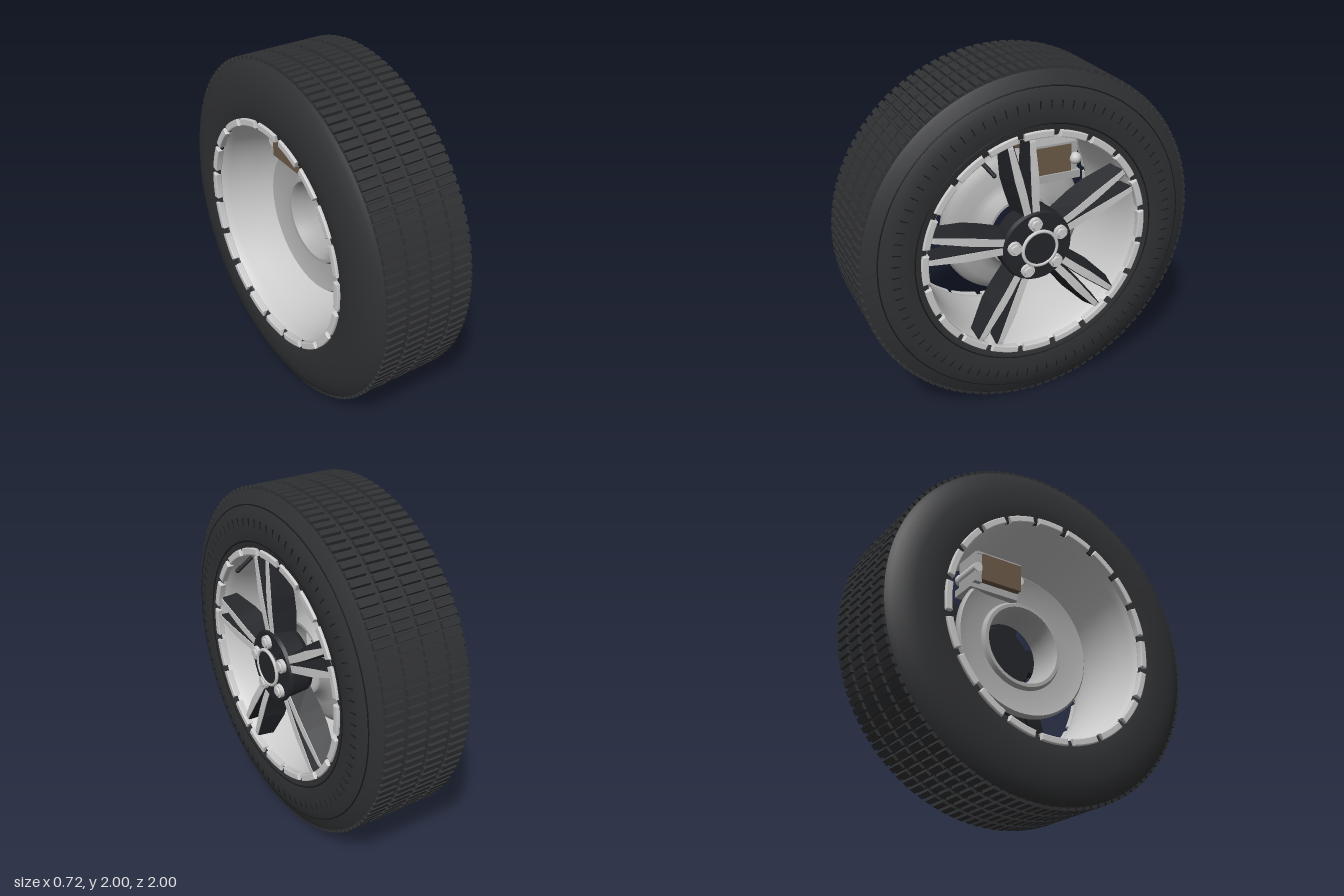
import * as THREE from 'three';
import { mergeGeometries, toCreasedNormals } from 'three/addons/utils/BufferGeometryUtils.js';

const mat = (color, extra = {}) => new THREE.MeshStandardMaterial({ color, ...extra });
const silver = mat(0xcccccc);
const silverThin = mat(0xcccccc, { side: THREE.DoubleSide });
const discGrey = mat(0xaaaaaa, { side: THREE.DoubleSide });
const rubber = mat(0x303133);
const black = mat(0x232529);
const tickDark = mat(0x18191a);
const brown = mat(0x6b5a48);

// The wheel is laid out with its axle along z (outer face +z), then turned to +x.
function add(parent, name, geometry, material, x = 0, y = 0, z = 0) {
  const mesh = new THREE.Mesh(geometry, material);
  mesh.name = name;
  mesh.position.set(x, y, z);
  parent.add(mesh);
  return mesh;
}

// Revolves [radius, axial] points around z
function revolve(points, segments = 96, crease = 0.5) {
  const g = new THREE.LatheGeometry(points.map(p => new THREE.Vector2(...p)), segments);
  return toCreasedNormals(g.rotateX(Math.PI / 2), crease);
}

const disk = (r0, r1, depth, sides = 32) =>
  new THREE.CylinderGeometry(r1, r0, depth, sides).rotateX(Math.PI / 2);

// Copies of a geometry spread evenly around z
function around(geometry, count, start = 0) {
  const copies = [];
  for (let i = 0; i < count; i++) copies.push(geometry.clone().rotateZ(start + i * 2 * Math.PI / count));
  return mergeGeometries(copies);
}

// Flat-sided loft through four-cornered rings, with end caps
function loft(rings) {
  const pos = [];
  const quad = (a, b, c, d) => [a, b, c, a, c, d].forEach(p => pos.push(...p));
  for (let i = 0; i < rings.length - 1; i++) {
    for (let j = 0; j < 4; j++) {
      const k = (j + 1) % 4;
      quad(rings[i][j], rings[i][k], rings[i + 1][k], rings[i + 1][j]);
    }
  }
  const [s, e] = [rings[0], rings[rings.length - 1]];
  quad(s[3], s[2], s[1], s[0]);
  quad(e[0], e[1], e[2], e[3]);
  const g = new THREE.BufferGeometry();
  g.setAttribute('position', new THREE.Float32BufferAttribute(pos, 3));
  g.computeVertexNormals();
  return g;
}

function buildTyre(wheel) {
  const tyre = new THREE.Group();
  tyre.name = 'tyre';
  wheel.add(tyre);
  add(tyre, 'tyreBody', revolve([
    [0.632, -0.29], [0.64, -0.335], [0.7, -0.352], [0.76, -0.355], [0.84, -0.348], [0.9, -0.333],
    [0.96, -0.305], [0.982, -0.285], [0.982, 0.245], [0.96, 0.258], [0.9, 0.285], [0.86, 0.302],
    [0.8, 0.312], [0.7, 0.303], [0.645, 0.285], [0.632, 0.25],
  ], 120), rubber);

  // Four ribs of tapered tread blocks
  const block = new THREE.BoxGeometry(0.044, 0.03, 0.116);
  const p = block.attributes.position;
  for (let i = 0; i < p.count; i++) {
    if (p.getY(i) > 0) p.setXYZ(i, p.getX(i) * 0.75, p.getY(i), p.getZ(i) * 0.96);
  }
  block.computeVertexNormals();
  for (let i = 0; i < 4; i++) {
    const rib = around(block.clone().translate(0, 0.985, 0), 120);
    add(tyre, 'treadRib', rib, rubber, 0, 0, -0.227 + i * 0.138);
  }

  // Sidewall rings and radial ticks
  add(tyre, 'sidewallRing', new THREE.TorusGeometry(0.905, 0.004, 6, 96), tickDark, 0, 0, 0.282);
  add(tyre, 'sidewallRing', new THREE.TorusGeometry(0.71, 0.004, 6, 96), tickDark, 0, 0, 0.304);
  const tick = new THREE.BoxGeometry(0.005, 0.045, 0.008).translate(0, 0.815, 0.309);
  add(tyre, 'sidewallTicks', around(tick, 80), tickDark);
}

function buildRim(wheel) {
  const rim = new THREE.Group();
  rim.name = 'rim';
  wheel.add(rim);
  add(rim, 'barrel', revolve([
    [0.645, -0.335], [0.635, -0.32], [0.628, -0.27], [0.615, -0.18], [0.606, -0.08], [0.604, 0.06],
    [0.61, 0.16], [0.622, 0.23], [0.634, 0.27], [0.646, 0.288],
  ], 96, 1), silverThin);

  // Broken flange: short arcs on both edges
  const half = 0.12, shape = new THREE.Shape();
  shape.absarc(0, 0, 0.668, -half, half, false);
  shape.absarc(0, 0, 0.64, half, -half, true);
  shape.closePath();
  const clip = new THREE.ExtrudeGeometry(shape, {
    depth: 0.03, curveSegments: 6, bevelThickness: 0.006, bevelSize: 0.006, bevelSegments: 2,
  });
  const ring = around(clip, 20);
  add(rim, 'outerFlangeArcs', ring, silver, 0, 0, 0.274);
  add(rim, 'innerFlangeArcs', ring, silver, 0, 0, -0.355);

  // Valve stem
  const path = new THREE.LineCurve3(new THREE.Vector3(-0.305, 0.535, 0.24), new THREE.Vector3(-0.275, 0.49, 0.345));
  add(rim, 'valveStem', new THREE.TubeGeometry(path, 1, 0.012, 12), black);
  add(rim, 'valveCap', new THREE.SphereGeometry(0.013, 12, 8), black, -0.275, 0.49, 0.345);
}

function buildSpokes(wheel) {
  // Per station: radius, inner base, outer base, outer top, inner top, back, front
  const stations = [
    [0.16, -0.005, 0.066, 0.042, -0.003, 0.16, 0.285],
    [0.32, 0.0, 0.092, 0.058, 0.008, 0.16, 0.292],
    [0.42, 0.008, 0.106, 0.07, 0.018, 0.17, 0.294],
    [0.61, 0.033, 0.104, 0.078, 0.042, 0.2, 0.29],
    [0.638, 0.04, 0.092, 0.078, 0.046, 0.22, 0.284],
  ];
  const ringOf = (pts, side) => {
    const ring = pts.map(([u, v, a]) => [u, v * side, a]);
    return side < 0 ? ring.reverse() : ring;
  };
  const dark = [], bright = [];
  for (const side of [1, -1]) {
    dark.push(loft(stations.map(([u, ib, ob, ot, it, back, front]) => ringOf(
      [[u, ib, back], [u, ob, back], [u, ot, front], [u, it, front]], side))));
    bright.push(loft(stations.map(([u, , , ot, it, , front]) => ringOf(
      [[u, it + 0.005, front - 0.01], [u, ot, front - 0.01], [u, ot, front + 0.004], [u, it + 0.005, front + 0.004]], side))));
  }
  const bodies = mergeGeometries(dark), faces = mergeGeometries(bright);
  for (let i = 0; i < 5; i++) {
    const spoke = new THREE.Group();
    spoke.name = 'doubleSpoke';
    spoke.rotation.z = THREE.MathUtils.degToRad(27 + 72 * i);
    wheel.add(spoke);
    add(spoke, 'spokeBody', bodies, black);
    add(spoke, 'spokeFace', faces, silver);
    // Wheel bolt in line with the spoke
    add(spoke, 'boltCollar', disk(0.04, 0.038, 0.03, 24), silver, 0.147, 0, 0.312);
    add(spoke, 'boltHead', disk(0.033, 0.026, 0.012, 6), silver, 0.147, 0, 0.33);
  }
}

function buildHub(wheel) {
  add(wheel, 'hub', revolve([
    [0, 0.15], [0.19, 0.15], [0.208, 0.18], [0.21, 0.285], [0.2, 0.304], [0, 0.31],
  ], 64), black);
  add(wheel, 'hubCap', disk(0.1, 0.095, 0.03, 48), black, 0, 0, 0.316);
  add(wheel, 'hubRing', new THREE.TorusGeometry(0.102, 0.01, 10, 64), silver, 0, 0, 0.328);
}

function buildBrake(wheel) {
  const brake = new THREE.Group();
  brake.name = 'brake';
  wheel.add(brake);
  // Disc with a hollow raised centre
  add(brake, 'brakeDisc', revolve([
    [0.2, 0.11], [0.205, 0.03], [0.22, -0.05], [0.235, -0.075], [0.255, -0.075], [0.27, -0.05],
    [0.36, -0.06], [0.425, -0.085], [0.438, -0.07], [0.438, -0.05], [0.42, -0.02], [0.37, 0.01],
    [0.3, 0.025], [0.25, 0.045], [0.225, 0.08], [0.215, 0.11], [0.2, 0.11],
  ], 80, 0.9), discGrey);

  const box = (name, w, h, d, m, x, y, z) => add(brake, name, new THREE.BoxGeometry(w, h, d), m, x, y, z);
  box('brakePads', 0.26, 0.165, 0.2, brown, 0.19, 0.383, -0.035);
  box('caliperTop', 0.3, 0.015, 0.19, discGrey, 0.205, 0.47, -0.035);
  box('caliperBase', 0.32, 0.045, 0.17, discGrey, 0.215, 0.28, -0.01);
  box('caliperEnd', 0.045, 0.19, 0.18, discGrey, 0.34, 0.38, -0.035);
  for (const x of [0.065, 0.345]) {
    add(brake, 'caliperPin', disk(0.03, 0.03, 0.2, 20), silver, x, 0.375, -0.03);
    add(brake, 'caliperPinHead', new THREE.SphereGeometry(0.035, 20, 12), silver, x, 0.375, 0.065);
  }
}

export function createModel() {
  const model = new THREE.Group();
  model.name = 'wheel';
  const wheel = new THREE.Group();
  wheel.name = 'wheelAssembly';
  wheel.position.y = 1;
  wheel.rotation.y = Math.PI / 2;
  model.add(wheel);
  buildTyre(wheel);
  buildRim(wheel);
  buildSpokes(wheel);
  buildHub(wheel);
  buildBrake(wheel);
  return model;
}
